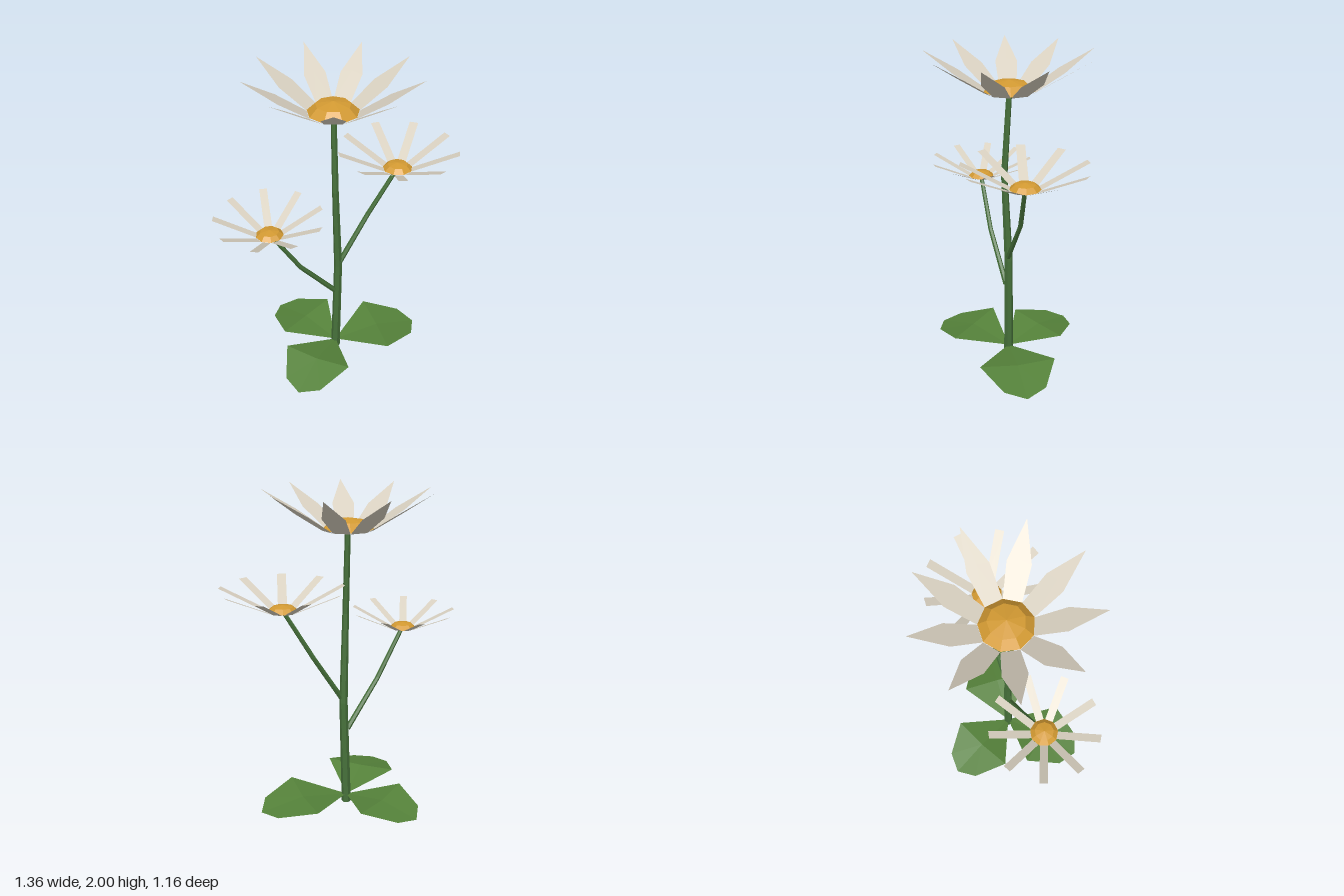
import * as THREE from 'three';

const mat = (color) => new THREE.MeshStandardMaterial({ color, flatShading: true, side: THREE.DoubleSide });
const STEM = mat(0x46703a), LEAF = mat(0x55823a), PETAL = mat(0xd8d0c0), DISC = mat(0xd39a32);
const rad = THREE.MathUtils.degToRad;

function mesh(name, geometry, material) {
  const m = new THREE.Mesh(geometry, material);
  m.name = name;
  return m;
}

function surface(points, index) {
  const g = new THREE.BufferGeometry();
  g.setAttribute('position', new THREE.Float32BufferAttribute(points.flat(), 3));
  g.setIndex(index);
  g.computeVertexNormals();
  return g;
}

// Triangles from a centre point to a closed rim (counter-clockwise from above)
function fan(centre, rim) {
  const index = [];
  rim.forEach((_, i) => index.push(0, 1 + i, 1 + ((i + 1) % rim.length)));
  return surface([centre, ...rim], index);
}

// Tapered six-sided stalk through rows of [x, y, z, radius]
function stalk(name, rows, sides = 6) {
  const path = rows.map(([x, y, z]) => new THREE.Vector3(x, y, z));
  const up = new THREE.Vector3(0, 1, 0), points = [], index = [];
  path.forEach((p, i) => {
    const dir = path[Math.min(i + 1, path.length - 1)].clone().sub(path[Math.max(i - 1, 0)]).normalize();
    const q = new THREE.Quaternion().setFromUnitVectors(up, dir);
    for (let j = 0; j < sides; j++) {
      const a = (j / sides) * Math.PI * 2;
      const v = new THREE.Vector3(Math.cos(a), 0, -Math.sin(a)).multiplyScalar(rows[i][3]);
      points.push(v.applyQuaternion(q).add(p).toArray());
      if (i === path.length - 1) continue;
      const b = i * sides + j, c = i * sides + ((j + 1) % sides);
      index.push(b, c, c + sides, b, c + sides, b + sides);
    }
  });
  const last = (path.length - 1) * sides;
  for (let j = 1; j < sides - 1; j++) index.push(0, j + 1, j, last, last + j, last + j + 1);
  return mesh(name, surface(points, index), STEM);
}

// Nine flat, rising petals around a low faceted dome
function flower(name, { at, turn, disc, dome, reach, rise, outline }) {
  const group = new THREE.Group();
  group.name = name;
  group.position.set(...at);
  group.rotation.y = rad(turn);

  const height = (r) => (rise * (r - disc)) / (reach - disc);
  const rim = [...outline, ...outline.filter(([, w]) => w > 0).map(([r, w]) => [r, -w]).reverse()]
    .reverse().map(([r, w]) => [r, height(r), -w]);
  const mid = (disc + reach) / 2;
  const petalGeometry = fan([mid, height(mid), 0], rim.reverse().map(([x, y, z]) => [x, y, -z]));
  for (let i = 0; i < 9; i++) {
    const petal = mesh('petal', petalGeometry, PETAL);
    petal.rotation.y = rad(i * 40);
    group.add(petal);
  }

  const profile = [[disc, 0], [disc * 0.68, dome * 0.7], [0, dome]].map(([r, y]) => new THREE.Vector2(r, y));
  const centre = mesh('flowerCentre', new THREE.LatheGeometry(profile, 9), DISC);
  centre.rotation.y = rad(-10); // corners fall between the petals
  group.add(centre);
  return group;
}

// Arched leaf: highest across its widest line, drooping to the tip
function leaf(name, turn, size, top) {
  const rim = [
    [0, 0.05, 0], [0.29, top, 0.24], [0.51, 0.068, 0.13],
    [0.575, 0.05, 0], [0.51, 0.068, -0.13], [0.29, top, -0.24],
  ].map(([x, y, z]) => [x * size, y, z * size]);
  const m = mesh(name, fan([0.3 * size, top - 0.012, 0], rim), LEAF);
  m.position.set(-0.03, 0, -0.03);
  m.rotation.y = rad(turn);
  return m;
}

// Narrow strip petals used on the two side blooms
const strip = (disc, reach, half) => [[disc * 0.94, half], [reach, half]];

export function createModel() {
  const model = new THREE.Group();
  model.name = 'flowerPlant';

  // Stem and branches
  model.add(
    stalk('mainStem', [[-0.03, 0, -0.03, 0.03], [-0.012, 0.7, -0.034, 0.026], [-0.022, 1.27, -0.002, 0.02], [-0.035, 1.75, -0.026, 0.017]]),
    stalk('leftBranch', [[0, 0.73, -0.035, 0.017], [0.155, 1.03, -0.155, 0.015], [0.32, 1.34, -0.225, 0.013]]),
    stalk('rightBranch', [[-0.035, 0.51, -0.01, 0.017], [-0.215, 0.8, 0.15, 0.015], [-0.362, 1.105, 0.26, 0.013]]),
  );

  // Blooms
  model.add(
    flower('topFlower', {
      at: [-0.037, 1.78, -0.027], turn: 0, disc: 0.15, dome: 0.065, reach: 0.5, rise: 0.22,
      outline: [[0.141, 0.051], [0.31, 0.066], [0.5, 0]],
    }),
    flower('leftFlower', {
      at: [0.32, 1.34, -0.225], turn: 0, disc: 0.09, dome: 0.037, reach: 0.36, rise: 0.13,
      outline: strip(0.09, 0.36, 0.027),
    }),
    flower('rightFlower', {
      at: [-0.365, 1.107, 0.26], turn: 30, disc: 0.082, dome: 0.034, reach: 0.32, rise: 0.115,
      outline: strip(0.082, 0.32, 0.023),
    }),
  );

  // Ground leaves
  model.add(leaf('leftLeaf', 28, 1, 0.11), leaf('backLeaf', 149, 0.92, 0.11), leaf('frontLeaf', 254, 0.94, 0.128));
  return model;
}
